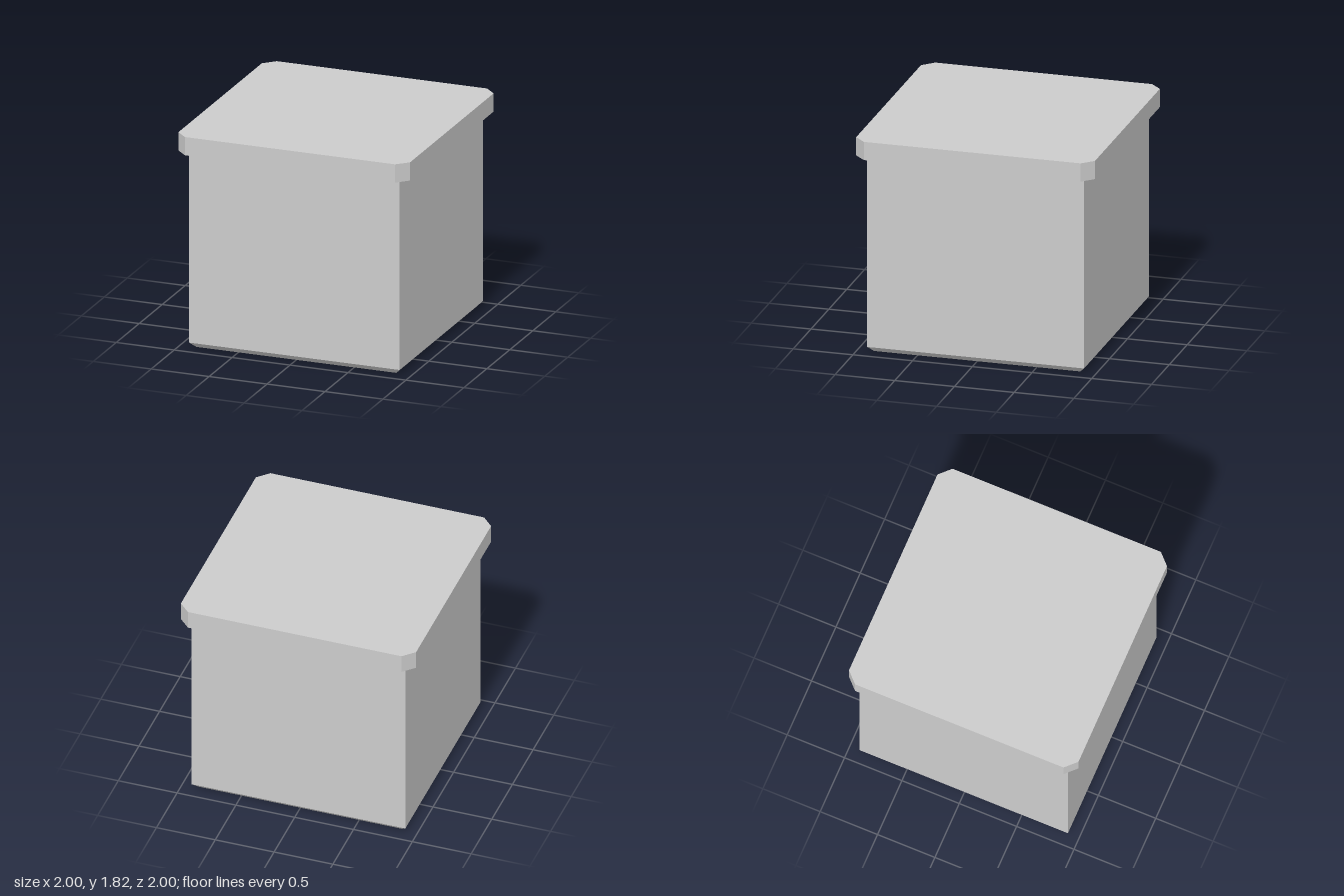
import * as THREE from 'three';

export function createModel() {
  const model = new THREE.Group();
  const material = new THREE.MeshStandardMaterial({ color: 0xcccccc, flatShading: true });

  const add = (name, geometry) => {
    const mesh = new THREE.Mesh(geometry, material);
    mesh.name = name;
    model.add(mesh);
    return mesh;
  };

  // Square body with a bevelled foot: a four-sided lathe, its top closed by the lid
  const lidY = 1.665, lidHeight = 0.155;
  const profile = [[0, 0], [0.863, 0], [0.908, 0.045], [0.908, lidY]]
    .map(([half, y]) => new THREE.Vector2(half * Math.SQRT2, y));
  add('body', new THREE.LatheGeometry(profile, 4, Math.PI / 4));

  // Overhanging lid: a square slab with cut corners
  const half = 1, inner = 0.908;
  const outline = new THREE.Shape([
    [inner, -half], [half, -inner], [half, inner], [inner, half],
    [-inner, half], [-half, inner], [-half, -inner], [-inner, -half],
  ].map(([x, y]) => new THREE.Vector2(x, y)));
  const lid = new THREE.ExtrudeGeometry(outline, { depth: lidHeight, bevelEnabled: false });
  lid.rotateX(-Math.PI / 2);
  add('lid', lid).position.y = lidY;

  return model;
}
